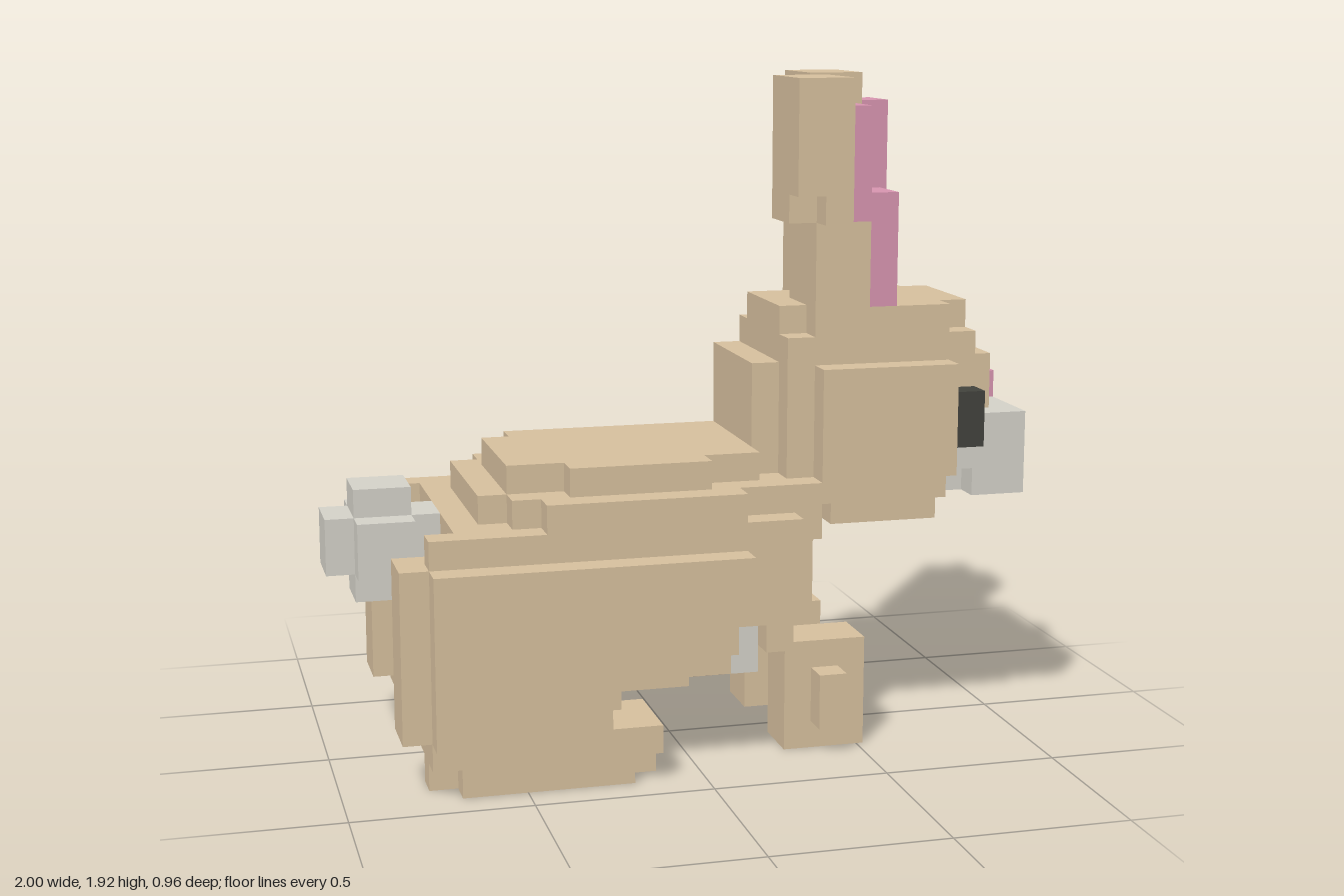
import * as THREE from 'three';
import { mergeGeometries } from 'three/addons/utils/BufferGeometryUtils.js';

const material = (name, color) => {
  const m = new THREE.MeshStandardMaterial({ color });
  m.name = name;
  return m;
};

// One named part made of blocks: [x0, x1, y0, y1, z0, z1]
function part(group, name, mat, blocks) {
  const geos = blocks.map(([x0, x1, y0, y1, z0, z1]) =>
    new THREE.BoxGeometry(x1 - x0, y1 - y0, z1 - z0)
      .translate((x0 + x1) / 2, (y0 + y1) / 2, (z0 + z1) / 2));
  const mesh = new THREE.Mesh(mergeGeometries(geos), mat);
  mesh.name = name;
  group.add(mesh);
}

export function createModel() {
  const g = new THREE.Group();
  g.name = 'rabbit';
  const fur = material('tan fur', 0xd8c19f);
  const pink = material('pink skin', 0xd996b1);
  const pale = material('pale grey fur', 0xd5d3ca);
  const dark = material('dark eye', 0x42433d);

  // Body, stepped in layers towards the back
  part(g, 'body', fur, [
    [-0.68, 0.28, 0.40, 0.72, -0.32, 0.32],
    [0.28, 0.36, 0.48, 0.72, -0.24, 0.24],
    [0.28, 0.36, 0.40, 0.48, -0.16, 0.24],
    [0.28, 0.36, 0.64, 0.80, -0.32, 0.32],
    [-0.76, 0.20, 0.40, 0.72, -0.40, -0.32],
    [-0.76, 0.28, 0.48, 0.72, 0.32, 0.40],
    [-0.60, 0.28, 0.72, 0.80, -0.24, 0.24],
    [-0.52, 0.28, 0.72, 0.80, -0.32, 0.32],
    [-0.44, 0.12, 0.72, 0.80, 0.32, 0.40],
    [-0.52, 0.20, 0.80, 0.88, -0.16, 0.24],
    [-0.44, 0.20, 0.80, 0.88, -0.24, -0.16],
    [-0.36, 0.04, 0.80, 0.88, 0.24, 0.32],
    [-0.60, -0.20, 0.16, 0.40, -0.24, 0.24],
    [-0.28, 0.12, 0.32, 0.40, 0.24, 0.32],
    [-0.20, 0.12, 0.24, 0.32, 0.08, 0.24],
    [-0.20, 0.04, 0.16, 0.24, -0.08, 0.08],
    [0.20, 0.28, 0.32, 0.40, 0.24, 0.32],
  ]);
  part(g, 'belly', pale, [
    [-0.20, 0.20, 0.32, 0.40, -0.32, 0.24],
    [-0.20, 0.20, 0.24, 0.32, -0.16, 0.08],
    [0.12, 0.20, 0.24, 0.32, 0.08, 0.24],
    [0.28, 0.36, 0.40, 0.48, -0.24, -0.16],
  ]);

  // Haunches with a raised thigh plate
  part(g, 'leftHaunch', fur, [
    [-0.84, -0.28, 0.16, 0.64, 0.24, 0.40],
    [-0.76, 0.12, 0.48, 0.64, 0.40, 0.48],
    [-0.76, -0.28, 0.16, 0.48, 0.40, 0.48],
  ]);
  part(g, 'rightHaunch', fur, [
    [-0.84, -0.28, 0.16, 0.64, -0.40, -0.24],
    [-0.76, -0.28, 0.08, 0.64, -0.48, -0.40],
    [-0.76, -0.60, 0.16, 0.64, -0.24, -0.16],
  ]);

  // Hind feet
  part(g, 'leftHindFoot', fur, [
    [-0.76, -0.12, 0.08, 0.16, 0.16, 0.40],
    [-0.68, -0.20, 0.00, 0.08, 0.16, 0.40],
    [-0.76, -0.12, 0.00, 0.08, 0.24, 0.32],
    [-0.68, -0.20, 0.00, 0.16, 0.08, 0.16],
  ]);
  part(g, 'rightHindFoot', fur, [
    [-0.76, -0.12, 0.08, 0.16, -0.48, -0.16],
    [-0.68, -0.20, 0.00, 0.08, -0.48, -0.16],
    [-0.76, -0.12, 0.00, 0.08, -0.40, -0.24],
  ]);

  // Front paws, notched at one toe, each with a small block on one side
  for (const [name, z] of [['leftPaw', 0.08], ['rightPaw', -0.32]]) {
    part(g, name, fur, [
      [0.28, 0.52, 0.08, 0.32, z, z + 0.16],
      [0.28, 0.44, 0.00, 0.08, z, z + 0.08],
      [0.28, 0.52, 0.00, 0.08, z + 0.08, z + 0.16],
      [0.36, 0.44, 0.08, 0.24, z + 0.16, z + 0.24],
    ]);
  }

  // Tail
  part(g, 'tail', pale, [
    [-1.00, -0.68, 0.56, 0.72, -0.08, 0.08],
    [-0.92, -0.76, 0.56, 0.72, -0.16, 0.16],
    [-0.92, -0.76, 0.48, 0.80, -0.08, 0.08],
  ]);

  // Head with cheeks, crown and chin
  part(g, 'head', fur, [
    [0.28, 0.76, 0.72, 1.20, -0.24, 0.24],
    [0.76, 0.84, 0.88, 1.20, -0.24, 0.24],
    [0.76, 0.84, 0.80, 0.88, -0.24, -0.16],
    [0.36, 0.76, 0.80, 1.12, -0.32, 0.32],
    [0.20, 0.28, 0.64, 1.12, -0.24, 0.16],
    [0.44, 0.76, 1.20, 1.28, -0.24, 0.24],
    [0.28, 0.84, 1.20, 1.28, -0.16, 0.16],
    [0.36, 0.44, 0.64, 0.72, -0.08, 0.08],
    [0.44, 0.76, 0.64, 0.72, -0.16, 0.16],
    [0.84, 0.92, 0.96, 1.12, -0.16, 0.16],
  ]);
  part(g, 'muzzle', pale, [
    [0.76, 1.00, 0.80, 0.88, -0.16, 0.24],
    [0.84, 1.00, 0.88, 0.96, -0.16, 0.24],
    [0.76, 0.84, 0.72, 0.80, -0.16, 0.16],
    [0.84, 0.92, 0.72, 0.80, -0.08, 0.24],
    [0.92, 1.00, 0.72, 0.80, -0.16, 0.24],
  ]);
  part(g, 'nose', pink, [[0.92, 1.00, 0.96, 1.04, -0.08, 0.00]]);
  part(g, 'eyes', dark, [
    [0.76, 0.84, 0.88, 1.04, 0.24, 0.32],
    [0.76, 0.84, 0.88, 1.04, -0.32, -0.24],
  ]);

  // Left ear, bent backwards at the tip
  part(g, 'leftEar', fur, [
    [0.36, 0.52, 1.20, 1.52, 0.00, 0.24],
    [0.36, 0.52, 1.52, 1.60, 0.00, 0.08],
    [0.28, 0.44, 1.60, 1.92, 0.08, 0.32],
    [0.36, 0.44, 1.52, 1.60, 0.08, 0.32],
    [0.28, 0.36, 1.52, 1.60, 0.08, 0.24],
  ]);
  part(g, 'leftInnerEar', pink, [
    [0.52, 0.60, 1.28, 1.60, 0.08, 0.24],
    [0.44, 0.52, 1.52, 1.84, 0.08, 0.24],
  ]);

  // Right ear, upright
  part(g, 'rightEar', fur, [[0.44, 0.60, 1.20, 1.92, -0.32, -0.08]]);
  part(g, 'rightInnerEar', pink, [[0.60, 0.68, 1.28, 1.84, -0.24, -0.08]]);

  return g;
}
